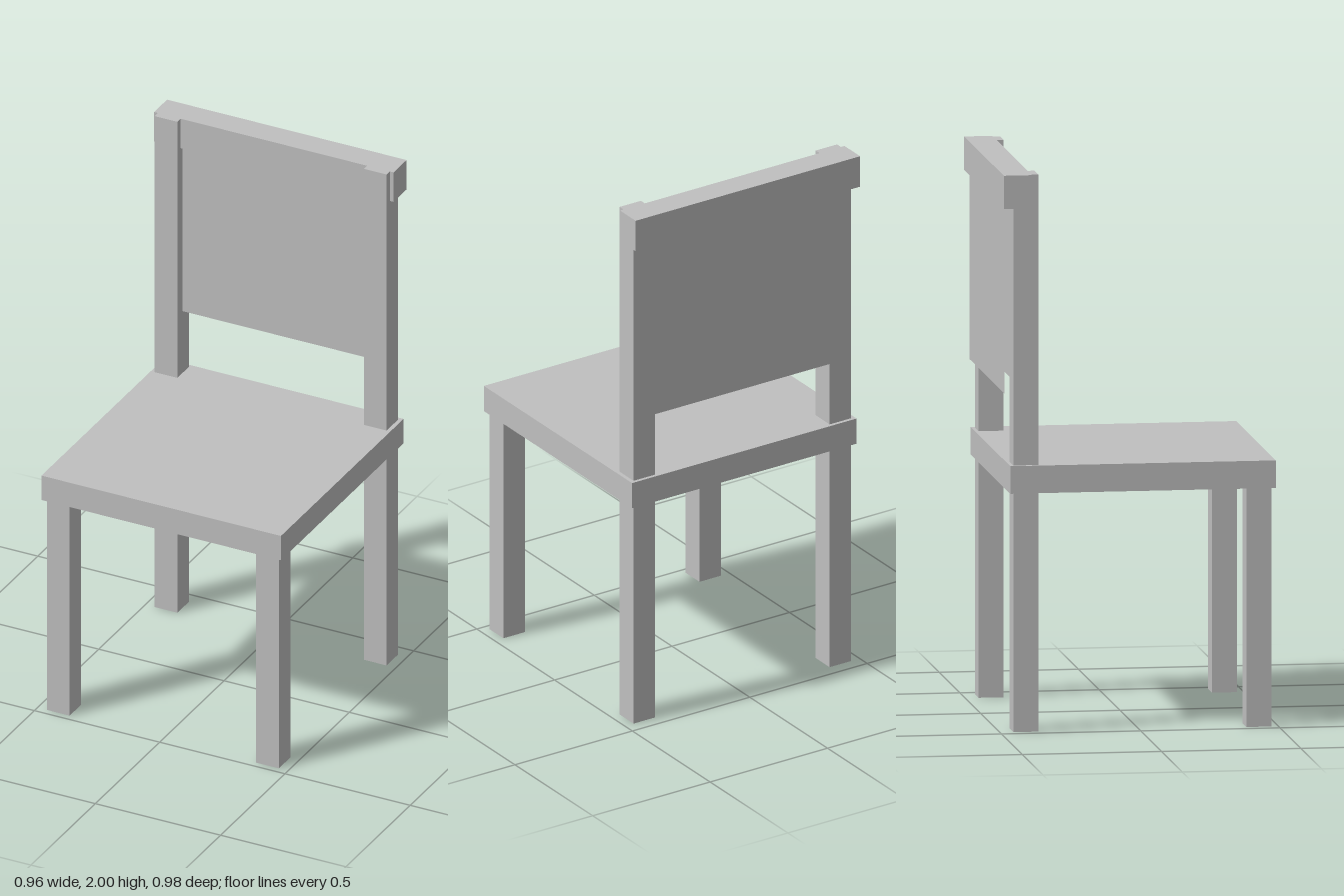
import * as THREE from 'three';

const material = new THREE.MeshStandardMaterial({ color: 0xbfbfbf, side: THREE.DoubleSide });
material.name = 'light grey';

// Box given by its extents; faces lists the sides to keep (0 +x, 1 -x, 2 +y, 3 -y, 4 +z, 5 -z)
function box(name, [x0, x1], [y0, y1], [z0, z1], faces = [0, 1, 2, 3, 4, 5]) {
  const geometry = new THREE.BoxGeometry(x1 - x0, y1 - y0, z1 - z0);
  const index = Array.from(geometry.index.array);
  geometry.setIndex(faces.flatMap((f) => index.slice(f * 6, f * 6 + 6)));
  geometry.clearGroups();
  const mesh = new THREE.Mesh(geometry, material);
  mesh.name = name;
  mesh.position.set((x0 + x1) / 2, (y0 + y1) / 2, (z0 + z1) / 2);
  return mesh;
}

export function createModel() {
  const chair = new THREE.Group();
  chair.name = 'chair';

  // Seat slab and top rail
  chair.add(box('seat', [-0.478, 0.478], [0.858, 0.957], [-0.465, 0.488]));
  chair.add(box('topRail', [-0.478, 0.478], [1.88, 2], [-0.488, -0.387]));

  // Backrest: a front and a back sheet, open round the edges
  chair.add(box('backPanel', [-0.42, 0.42], [1.21, 1.89], [-0.478, -0.4], [4, 5]));

  // Hollow legs, open at the floor; the back ones rise as posts
  const openBottom = [0, 1, 2, 4, 5];
  for (const side of [1, -1]) {
    const x = side > 0 ? [0.372, 0.463] : [-0.463, -0.372];
    const prefix = side > 0 ? 'left' : 'right';
    chair.add(box(prefix + 'FrontLeg', x, [0, 0.87], [0.385, 0.475], openBottom));
    chair.add(box(prefix + 'BackLeg', x, [0, 2], [-0.452, -0.362], openBottom));
  }
  return chair;
}
